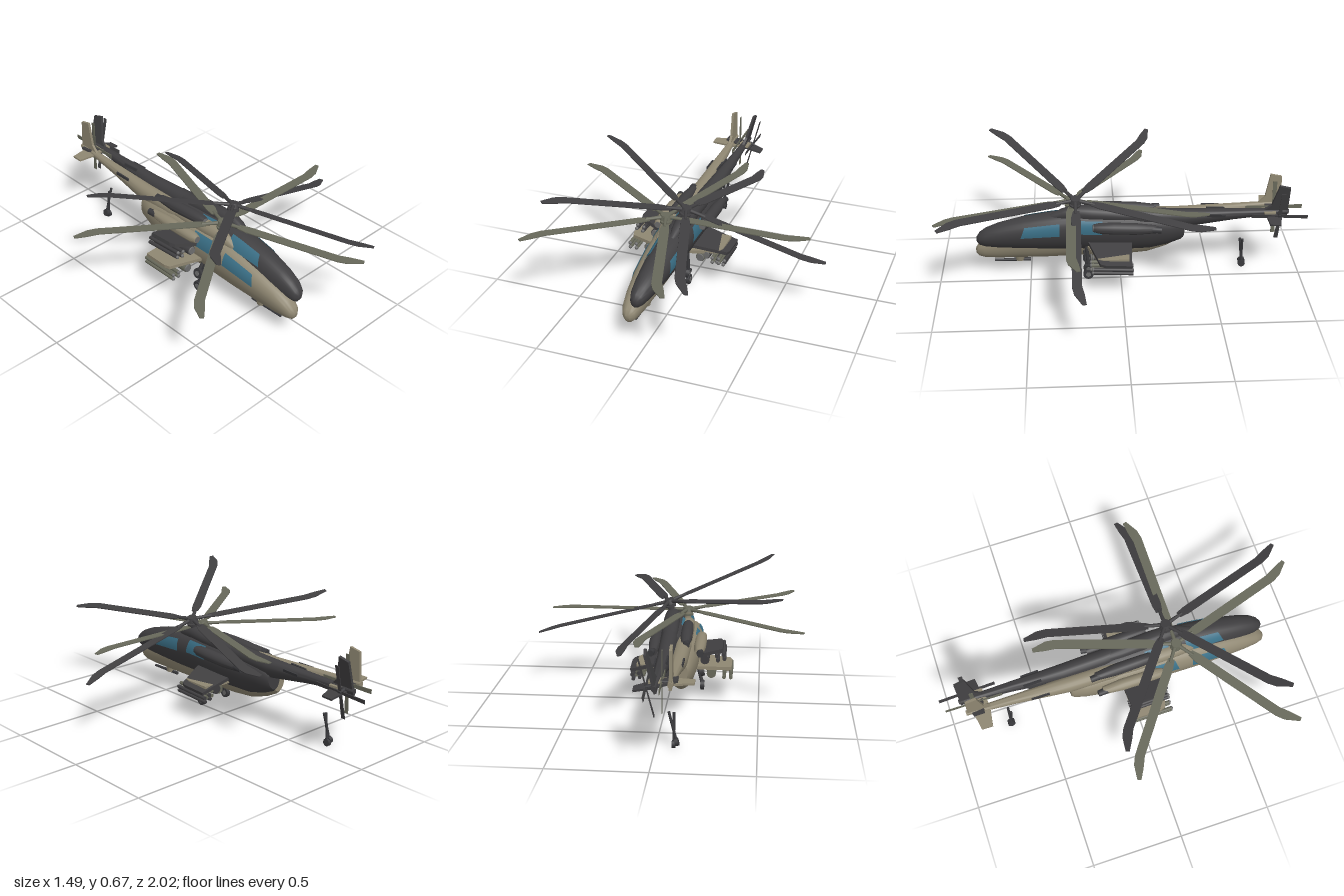
import * as THREE from 'three';
import { toCreasedNormals } from 'three/addons/utils/BufferGeometryUtils.js';

const paint = (name, color, side = THREE.FrontSide) => {
  const m = new THREE.MeshStandardMaterial({ color, side });
  m.name = name;
  return m;
};

// Cross-sections from front to back: z, bottom, top, half width
const HULL = [
  [0.8, 0.135, 0.165, 0.012], [0.785, 0.115, 0.19, 0.032], [0.75, 0.105, 0.22, 0.046],
  [0.68, 0.1, 0.255, 0.058], [0.55, 0.1, 0.3, 0.072], [0.4, 0.1, 0.335, 0.08],
  [0.25, 0.105, 0.36, 0.083], [0, 0.105, 0.36, 0.082], [-0.15, 0.118, 0.355, 0.075],
  [-0.25, 0.15, 0.345, 0.066], [-0.32, 0.185, 0.335, 0.054], [-0.335, 0.2, 0.32, 0.042],
];
const BOOM = [
  [0.1, 0.28, 0.385, 0.03], [-0.1, 0.27, 0.388, 0.046], [-0.33, 0.275, 0.388, 0.042],
  [-0.6, 0.335, 0.4, 0.027], [-0.8, 0.37, 0.408, 0.018], [-0.9, 0.38, 0.41, 0.013],
];
const COWL = [
  [0.42, 0.3, 0.325, 0.01], [0.34, 0.3, 0.375, 0.03], [0.27, 0.3, 0.4, 0.04],
  [0.18, 0.3, 0.4, 0.045], [0, 0.3, 0.39, 0.045], [-0.15, 0.3, 0.38, 0.035],
];

// Point on an egg-shaped section, fuller above than below
function sectionPoint([z, bottom, top, w], a, out = 0) {
  const c = Math.cos(a), s = Math.sin(a), mid = bottom + 0.6 * (top - bottom);
  const x = w * Math.sign(c) * Math.pow(Math.abs(c), s < 0 ? 1.1 : 0.85);
  const y = mid + s * (s > 0 ? top - mid : mid - bottom);
  return [x + c * out, y + s * out, z];
}

function sectionAt(sections, z) {
  let i = 0;
  while (i < sections.length - 2 && sections[i + 1][0] > z) i++;
  const a = sections[i], b = sections[i + 1], t = (z - a[0]) / (b[0] - a[0]);
  return a.map((v, k) => v + (b[k] - v) * t);
}

function meshGrid(points, rows, cols, wrap) {
  const index = [];
  for (let i = 0; i < rows - 1; i++) for (let j = 0; j < (wrap ? cols : cols - 1); j++) {
    const k = (j + 1) % cols;
    const a = i * cols + j, b = a + cols, c = i * cols + k, d = c + cols;
    index.push(a, b, c, c, b, d);
  }
  const g = new THREE.BufferGeometry();
  g.setAttribute('position', new THREE.Float32BufferAttribute(points.flat(), 3));
  g.setIndex(index);
  g.computeVertexNormals();
  return g;
}

// Closed loft with both ends drawn in to a point
function loft(sections, n = 28) {
  const close = ([z, b, t]) => { const m = b + 0.6 * (t - b); return [z, m, m, 0]; };
  const rings = [close(sections[0]), ...sections, close(sections.at(-1))];
  const pts = rings.flatMap(r => Array.from({ length: n }, (_, j) => sectionPoint(r, j / n * Math.PI * 2)));
  return toCreasedNormals(meshGrid(pts, rings.length, n, true), 0.7);
}

// Thin pane following the hull skin
function pane(z0, z1, a0, a1, mirror) {
  const pts = [];
  for (let i = 0; i <= 6; i++) for (let j = 0; j <= 8; j++) {
    const lean = j / 8 * 0.02, a = a0 + (a1 - a0) * j / 8;
    const z = z0 - lean + (z1 - z0 + lean) * i / 6;
    pts.push(sectionPoint(sectionAt(HULL, z), mirror ? Math.PI - a : a, 0.004));
  }
  const g = meshGrid(pts, 7, 9, false);
  if (mirror) { g.setIndex(Array.from(g.index.array).reverse()); g.computeVertexNormals(); }
  return g;
}

function plate(points, depth) {
  const shape = new THREE.Shape(points.map(p => new THREE.Vector2(...p)));
  return new THREE.ExtrudeGeometry(shape, { depth, bevelEnabled: false }).translate(0, 0, -depth / 2);
}
const flatPlate = (pts, d) => plate(pts, d).rotateX(Math.PI / 2);   // points are x, z
const uprightPlate = (pts, d) => plate(pts, d).rotateY(-Math.PI / 2); // points are z, y

function rod(from, to, r0, r1 = r0, n = 12) {
  const a = new THREE.Vector3(...from), b = new THREE.Vector3(...to), d = b.clone().sub(a);
  const g = new THREE.CylinderGeometry(r1, r0, d.length(), n);
  g.applyQuaternion(new THREE.Quaternion().setFromUnitVectors(new THREE.Vector3(0, 1, 0), d.clone().normalize()));
  return g.translate(...a.add(b).multiplyScalar(0.5).toArray());
}

function helicopter(name, body, blade, shared) {
  const { glass, metal, gear } = shared;
  const group = new THREE.Group();
  group.name = name;
  const add = (part, geo, mat, parent = group) => {
    const m = new THREE.Mesh(geo, mat);
    m.name = part;
    parent.add(m);
    return m;
  };

  add('fuselage', loft(HULL), body);
  add('tailBoom', loft(BOOM, 20), body);
  add('mastCowling', loft(COWL, 20), body);

  // Chin gun
  add('gunTurret', rod([0, 0.12, 0.56], [0, 0.08, 0.56], 0.03, 0.022), body);
  add('gunBarrel', rod([0, 0.082, 0.5], [0, 0.08, 0.7], 0.01, 0.007), gear);

  for (const s of [1, -1]) {
    add('frontWindow', pane(0.56, 0.35, 0.08, 0.85, s < 0), glass);
    add('rearWindow', pane(0.27, 0.12, 0.15, 0.95, s < 0), glass);

    // Engine pods with exhausts
    const x = s * 0.088;
    const profile = [[0, 0.17], [0.02, 0.17], [0.029, 0.14], [0.032, 0.06], [0.032, -0.06], [0.022, -0.17], [0, -0.17]];
    const nacelle = new THREE.LatheGeometry(profile.reverse().map(p => new THREE.Vector2(...p)), 18);
    add('engine', toCreasedNormals(nacelle.rotateX(Math.PI / 2), 0.6).translate(x, 0.325, 0), body);
    add('engineIntake', rod([x, 0.325, 0.15], [x, 0.325, 0.173], 0.018), metal);
    add('exhaust', rod([x, 0.325, -0.1], [x + s * 0.01, 0.328, -0.2], 0.022, 0.017), gear);
    add('boomVent', new THREE.BoxGeometry(0.008, 0.016, 0.1).translate(s * 0.031, 0.38, -0.5), gear);

    // Stub wing and stores
    add('wing', flatPlate([[s * 0.05, 0.2], [s * 0.25, 0.13], [s * 0.26, 0.1], [s * 0.26, -0.04], [s * 0.05, -0.05]], 0.018)
      .translate(0, 0.202, 0), body);
    for (const px of [0.15, 0.238])
      add('pylon', new THREE.BoxGeometry(0.012, 0.03, 0.09).translate(s * px, 0.187, 0.05), body);
    add('rocketPod', rod([s * 0.15, 0.166, -0.03], [s * 0.15, 0.166, 0.16], 0.025, 0.025, 16), blade);
    add('rocketPodFace', rod([s * 0.15, 0.166, 0.16], [s * 0.15, 0.166, 0.167], 0.022, 0.02, 16), metal);
    for (const dx of [-0.018, 0.018]) for (const y of [0.153, 0.178]) {
      const mx = s * 0.238 + dx;
      add('missile', rod([mx, y, -0.05], [mx, y, 0.165], 0.01, 0.01, 10), blade);
      add('missileNose', new THREE.SphereGeometry(0.01, 10, 8).translate(mx, y, 0.165), metal);
    }

    // Main landing gear
    add('mainStrut', rod([s * 0.055, 0.17, 0.2], [s * 0.09, 0.035, 0.18], 0.01), gear);
    add('mainWheel', rod([s * 0.09 - 0.01, 0.028, 0.18], [s * 0.09 + 0.01, 0.028, 0.18], 0.028, 0.028, 20), gear);
    add('mainHub', rod([s * 0.09 - 0.012, 0.028, 0.18], [s * 0.09 + 0.012, 0.028, 0.18], 0.014), metal);

    add('stabiliser', flatPlate([[0, -0.77], [s * 0.11, -0.785], [s * 0.11, -0.845], [0, -0.865]], 0.01)
      .translate(0, 0.388, 0), body);
  }

  // Tail wheel
  add('tailStrut', rod([0, 0.18, -0.675], [0, 0.025, -0.69], 0.007), gear);
  add('tailWheel', rod([-0.009, 0.02, -0.69], [0.009, 0.02, -0.69], 0.02, 0.02, 16), gear);

  // Tail fin and rotor
  add('tailFin', uprightPlate([[-0.76, 0.4], [-0.8, 0.44], [-0.825, 0.575], [-0.885, 0.562], [-0.895, 0.37], [-0.82, 0.37]], 0.014), body);
  add('tailRotorShaft', rod([0, 0.395, -0.845], [0.05, 0.395, -0.845], 0.01), gear);
  for (let i = 0; i < 4; i++) {
    const g = uprightPlate([[0.01, -0.01], [0.155, -0.013], [0.155, 0.01], [0.01, 0.008]], 0.004);
    add('tailRotorBlade', g.rotateX(i * Math.PI / 2).translate(0.043, 0.395, -0.845), blade);
  }

  // Main rotor
  const rotor = new THREE.Group();
  rotor.name = 'mainRotor';
  rotor.position.set(0, 0.445, 0.27);
  group.add(rotor);
  add('mast', rod([0, -0.07, 0], [0, 0.01, 0], 0.018), body, rotor);
  add('swashPlate', rod([0, -0.032, 0], [0, -0.022, 0], 0.032, 0.032, 18), blade, rotor);
  add('hub', rod([0, -0.012, 0], [0, 0.014, 0], 0.033, 0.026, 18), blade, rotor);
  for (let i = 0; i < 5; i++) {
    const arm = new THREE.Group();
    arm.name = 'rotorArm';
    arm.rotation.y = i * Math.PI * 2 / 5;
    rotor.add(arm);
    add('bladeGrip', rod([0.02, 0, 0], [0.11, 0, 0], 0.011, 0.008), blade, arm);
    add('blade', flatPlate([[0.09, -0.02], [0.14, -0.026], [0.64, -0.022], [0.7, -0.034], [0.765, -0.042],
      [0.77, -0.022], [0.7, 0.018], [0.65, 0.028], [0.14, 0.024], [0.09, 0.014]], 0.005), blade, arm);
  }
  return group;
}

export function createModel() {
  const model = new THREE.Group();
  model.name = 'helicopterPair';
  const tan = paint('tanPaint', 0x8f8772), dark = paint('darkGreyPaint', 0x403f41);
  const olive = paint('olivePaint', 0x67685a);
  const shared = {
    glass: paint('tealGlass', 0x3a6f86, THREE.DoubleSide),
    metal: paint('greyMetal', 0x6c6c6c),
    gear: paint('blackGear', 0x39393c),
  };

  const level = helicopter('tanHelicopter', tan, olive, shared);
  level.position.x = -0.09;

  // Second aircraft, rolled and pitched slightly nose up
  const banked = helicopter('darkHelicopter', dark, dark, shared);
  banked.rotation.set(-0.057, 0, -0.25, 'ZYX');
  banked.position.set(-0.1, 0.05, 0);

  model.add(level, banked);
  return model;
}
